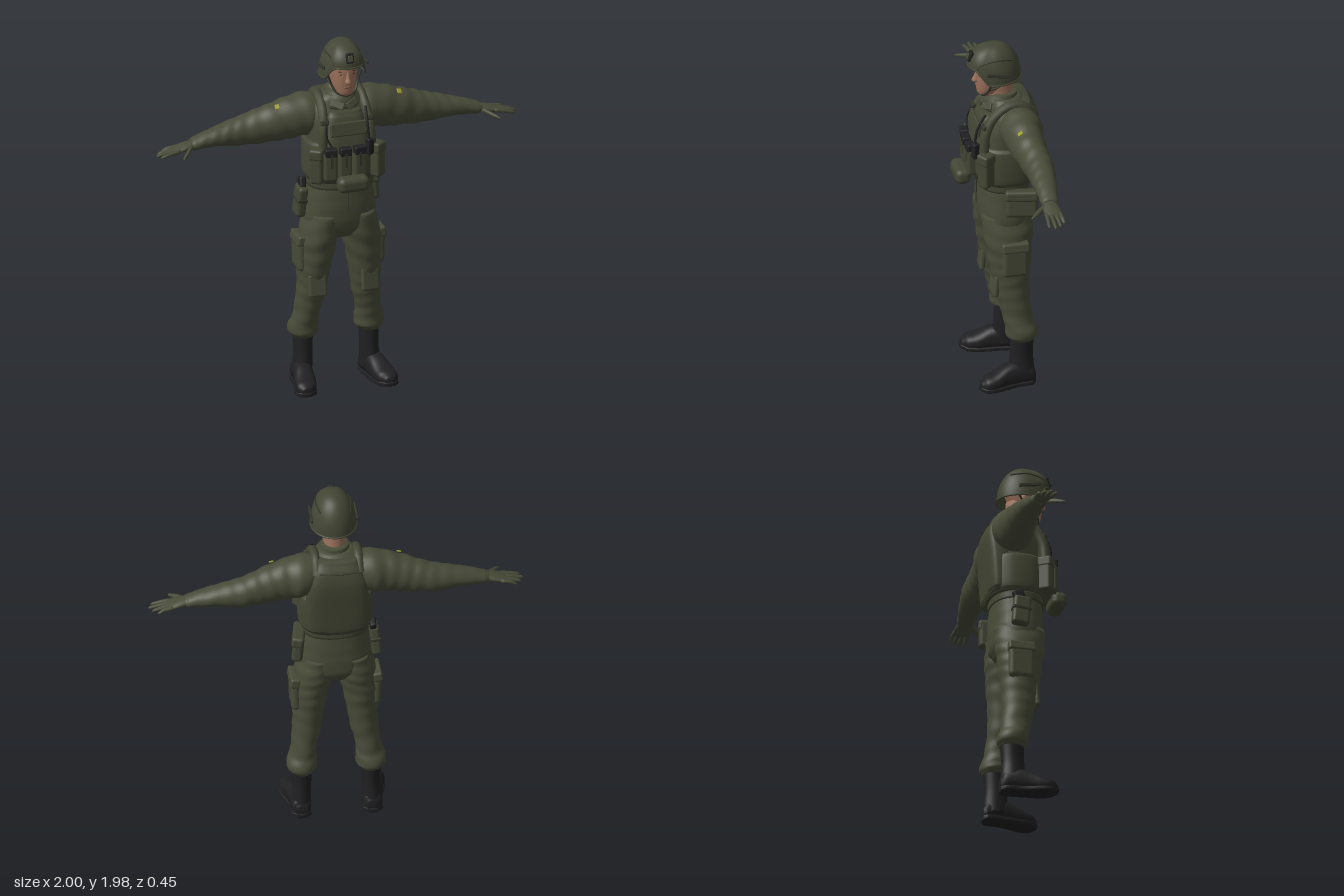
import * as THREE from 'three';
import { RoundedBoxGeometry } from 'three/addons/geometries/RoundedBoxGeometry.js';

const mat = (name, color, side = THREE.FrontSide) => {
  const m = new THREE.MeshStandardMaterial({ color, side });
  m.name = name;
  return m;
};

// Smooth loft along an axis. Rows are [t, c1, c2, r1, r2]; the two cross axes are
// y: (x, z)   x: (z, y)   z: (y, x). "pow" above 2 squares the section, "fold" wrinkles cloth.
function loft(rows, axis = 'y', { pow = 2, fold = 0, steps = 4, n = 32 } = {}) {
  const [T, A, B] = { y: [1, 0, 2], x: [0, 2, 1], z: [2, 1, 0] }[axis];
  const pos = [], idx = [];
  const at = (k, f, c) => {
    const r = (i) => rows[Math.min(rows.length - 1, Math.max(0, i))][c];
    const [a, b, d, e] = [r(k - 1), r(k), r(k + 1), r(k + 2)];
    if (c === 0) return b + (d - b) * f;
    return b + 0.5 * f * (d - a + f * (2 * a - 5 * b + 4 * d - e + f * (3 * (b - d) + e - a)));
  };
  const put = (t, a, b) => { const p = []; p[T] = t; p[A] = a; p[B] = b; pos.push(...p); };
  const count = (rows.length - 1) * steps;
  for (let i = 0; i <= count; i++) {
    const k = Math.min(rows.length - 2, Math.floor(i / steps)), f = i / steps - k;
    const [t, c1, c2, r1, r2] = [0, 1, 2, 3, 4].map((c) => at(k, f, c));
    for (let j = 0; j < n; j++) {
      const u = (j / n) * Math.PI * 2, c = Math.cos(u), s = Math.sin(u);
      const w = 1 + fold * (Math.sin(t * 75 + 2.2 * Math.sin(u + t * 9)) + 0.6 * Math.sin(t * 41 - 2 * u));
      put(t, c1 + w * r1 * Math.sign(c) * Math.abs(c) ** (2 / pow), c2 + w * r2 * Math.sign(s) * Math.abs(s) ** (2 / pow));
    }
  }
  for (let i = 0; i < count; i++) for (let j = 0; j < n; j++) {
    const a = i * n + j, b = i * n + (j + 1) % n;
    idx.push(a, a + n, b, b, a + n, b + n);
  }
  // end caps
  const first = rows[0], last = rows[rows.length - 1], m = (count + 1) * n;
  put(first[0], first[1], first[2]);
  put(last[0], last[1], last[2]);
  for (let j = 0; j < n; j++) {
    const q = (j + 1) % n;
    idx.push(m, j, q, m + 1, count * n + q, count * n + j);
  }
  const g = new THREE.BufferGeometry();
  g.setAttribute('position', new THREE.Float32BufferAttribute(pos, 3));
  g.setIndex(idx);
  g.computeVertexNormals();
  return g;
}

function mirrored(geo) {
  const g = geo.clone().scale(-1, 1, 1);
  const src = g.index ? Array.from(g.index.array) : Array.from({ length: g.attributes.position.count }, (_, i) => i);
  for (let i = 0; i < src.length; i += 3) [src[i + 1], src[i + 2]] = [src[i + 2], src[i + 1]];
  g.setIndex(src);
  return g;
}

const V = (p) => new THREE.Vector3(...p);
const tube = (pts, r, closed = false, seg = 28) =>
  new THREE.TubeGeometry(new THREE.CatmullRomCurve3(pts.map(V), closed), seg, r, 8, closed);
const ball = (r, s, p) => new THREE.SphereGeometry(r, 16, 12).scale(...s).translate(...p);
const box = ([w, h, d], p, rot = [0, 0, 0], r = 0.012) => {
  const g = new RoundedBoxGeometry(w, h, d, 3, Math.min(r, w / 2.1, h / 2.1, d / 2.1));
  g.applyMatrix4(new THREE.Matrix4().makeRotationFromEuler(new THREE.Euler(...rot)));
  return g.translate(...p);
};

export function createModel() {
  const root = new THREE.Group();
  root.name = 'soldier';
  const cloth = mat('olive cloth', 0x484b38);
  const gear = mat('olive gear', 0x434634, THREE.DoubleSide);
  const seam = mat('dark olive webbing', 0x33362a);
  const black = mat('black', 0x202022);
  const skin = mat('skin', 0x9a705a);
  const lip = mat('lips', 0x7d5144);
  const dark = mat('brows and eyes', 0x33271f);
  const yellow = mat('yellow patch', 0x98982c);
  const add = (name, m, g) => {
    const mesh = new THREE.Mesh(g, m);
    mesh.name = name;
    root.add(mesh);
  };
  const pair = (name, m, g) => { add('left ' + name, m, g); add('right ' + name, m, mirrored(g)); };

  // Head and face
  add('head', skin, loft([[1.675, 0, 0.05, 0.022, 0.025], [1.695, 0, 0.045, 0.046, 0.051], [1.74, 0, 0.022, 0.064, 0.079],
    [1.79, 0, 0.01, 0.072, 0.093], [1.85, 0, 0, 0.075, 0.1], [1.92, 0, 0, 0.055, 0.075]], 'y', { pow: 2.2 }));
  add('neck', skin, loft([[1.58, 0, -0.035, 0.065, 0.07], [1.68, 0, -0.03, 0.059, 0.068], [1.78, 0, -0.02, 0.058, 0.07]]));
  add('nose', skin, loft([[1.758, 0, 0.1, 0.008, 0.01], [1.768, 0, 0.104, 0.017, 0.021], [1.79, 0, 0.1, 0.012, 0.016], [1.825, 0, 0.095, 0.008, 0.008]]));
  add('mouth', lip, ball(0.022, [1, 0.24, 0.3], [0, 1.738, 0.099]));
  pair('ear', skin, ball(0.025, [0.4, 1.1, 0.7], [0.075, 1.79, -0.005]));
  pair('eye', dark, ball(0.011, [1, 0.4, 0.4], [0.03, 1.811, 0.092]));
  pair('eyebrow', dark, box([0.034, 0.006, 0.008], [0.031, 1.828, 0.092], [0, 0.3, -0.1], 0.003));

  // Helmet: dome whose rim is high over the brow and low around ears and nape
  const rimY = (u) => 1.785 + 0.078 * THREE.MathUtils.smoothstep(Math.sin(u), 0.3, 0.85);
  const dome = new THREE.SphereGeometry(1, 48, 20, 0, Math.PI * 2, 0, Math.PI / 2);
  const p = dome.attributes.position;
  for (let i = 0; i < p.count; i++) {
    const u = Math.atan2(p.getZ(i), p.getX(i)), y = p.getY(i), k = Math.sqrt(Math.max(0, 1 - y * y)) ** 0.88;
    p.setXYZ(i, Math.cos(u) * k * 0.122, rimY(u) + (1.98 - rimY(u)) * y, 0.003 + Math.sin(u) * k * 0.142);
  }
  dome.computeVertexNormals();
  add('helmet', gear, dome);
  const rim = Array.from({ length: 32 }, (_, i) => {
    const u = (i / 32) * Math.PI * 2;
    return [Math.cos(u) * 0.122, rimY(u), 0.003 + Math.sin(u) * 0.142];
  });
  add('helmet rim', gear, tube(rim, 0.005, true, 96));
  add('helmet front mount', black, box([0.042, 0.055, 0.02], [0, 1.918, 0.134], [-0.35, 0, 0], 0.006));
  add('helmet mount plate', gear, box([0.026, 0.034, 0.012], [0, 1.919, 0.145], [-0.35, 0, 0], 0.004));
  pair('helmet side rail', seam, box([0.012, 0.02, 0.12], [0.121, 1.845, 0.01], [-0.15, 0, 0.1], 0.004));
  pair('helmet strap seam', seam, tube([[0.075, 1.872, 0.112], [0.085, 1.905, 0.08], [0.093, 1.92, 0.0], [0.08, 1.91, -0.085]], 0.004));
  pair('chin strap', seam, tube([[0.092, 1.8, 0.04], [0.072, 1.74, 0.045], [0.05, 1.7, 0.068], [0, 1.683, 0.085]], 0.006));
  pair('nape strap', seam, tube([[0.1, 1.8, -0.05], [0.075, 1.75, 0], [0.07, 1.735, 0.045]], 0.005));

  // Jacket
  add('jacket', cloth, loft([[1.15, 0, -0.04, 0.17, 0.135], [1.25, 0, -0.045, 0.18, 0.14], [1.4, 0, -0.055, 0.17, 0.145],
    [1.5, 0, -0.065, 0.185, 0.145], [1.58, 0, -0.075, 0.185, 0.125], [1.635, 0, -0.07, 0.14, 0.105], [1.67, 0, -0.045, 0.085, 0.082]],
  'y', { fold: 0.006, pow: 2.2 }));
  add('collar', cloth, loft([[1.6, 0, -0.035, 0.105, 0.1], [1.65, 0, -0.035, 0.088, 0.088], [1.695, 0, -0.045, 0.073, 0.073]]));
  pair('collar flap', cloth, box([0.075, 0.04, 0.014], [0.042, 1.625, 0.053], [-0.5, 0.35, 0.5], 0.006));

  // Sleeves and gloved hands
  pair('sleeve', cloth, loft([[0.09, -0.085, 1.545, 0.09, 0.1], [0.18, -0.1, 1.538, 0.113, 0.118], [0.26, -0.1, 1.525, 0.1, 0.115],
    [0.34, -0.105, 1.51, 0.091, 0.107], [0.42, -0.115, 1.492, 0.084, 0.095], [0.52, -0.125, 1.474, 0.076, 0.08], [0.62, -0.12, 1.466, 0.066, 0.06],
    [0.72, -0.115, 1.453, 0.055, 0.044], [0.79, -0.11, 1.439, 0.046, 0.034], [0.81, -0.108, 1.437, 0.038, 0.026]], 'x', { fold: 0.022, steps: 7 }));
  pair('palm', cloth, loft([[0.78, -0.107, 1.438, 0.034, 0.024], [0.84, -0.106, 1.43, 0.044, 0.021], [0.885, -0.107, 1.421, 0.046, 0.015],
    [0.905, -0.107, 1.417, 0.042, 0.01]], 'x'));
  [[0.958, -0.143, -0.15], [0.985, -0.119, -0.124], [1, -0.095, -0.095], [0.985, -0.071, -0.064]].forEach(([x, z0, z1], i) =>
    pair('finger ' + (i + 1), cloth, loft([[0.875, z0, 1.421, 0.012, 0.012], [0.93, (z0 + z1) / 2, 1.413, 0.011, 0.011],
      [x - 0.01, z1, 1.402, 0.009, 0.009], [x, z1, 1.4, 0.003, 0.003]], 'x', { n: 10, steps: 3 })));
  pair('thumb', cloth, loft([[0.8, -0.085, 1.431, 0.014, 0.014], [0.835, -0.05, 1.42, 0.019, 0.015], [0.865, -0.016, 1.41, 0.015, 0.011],
    [0.882, 0.003, 1.404, 0.008, 0.006]], 'x', { n: 12 }));
  pair('shoulder patch', yellow, box([0.024, 0.008, 0.03], [0.34, 1.609, -0.058], [0.58, 0, -0.2], 0.003));

  // Trousers
  add('trouser seat', cloth, loft([[0.865, 0, -0.05, 0.09, 0.1], [0.91, 0, -0.047, 0.175, 0.127], [0.97, 0, -0.043, 0.196, 0.138],
    [1.05, 0, -0.04, 0.188, 0.14], [1.13, 0, -0.04, 0.177, 0.138], [1.2, 0, -0.04, 0.168, 0.133]], 'y', { pow: 2.3, fold: 0.004 }));
  pair('trouser leg', cloth, loft([[0.27, 0.183, -0.105, 0.06, 0.066], [0.295, 0.184, -0.103, 0.08, 0.084], [0.33, 0.184, -0.098, 0.08, 0.084],
    [0.37, 0.177, -0.088, 0.071, 0.08], [0.43, 0.168, -0.077, 0.069, 0.081], [0.51, 0.155, -0.065, 0.076, 0.088], [0.6, 0.146, -0.055, 0.081, 0.098],
    [0.7, 0.138, -0.05, 0.09, 0.11], [0.8, 0.127, -0.047, 0.1, 0.122], [0.89, 0.112, -0.044, 0.105, 0.133], [1, 0.095, -0.04, 0.09, 0.135]],
  'y', { fold: 0.018, steps: 6 }));
  pair('cargo pocket', cloth, box([0.05, 0.19, 0.14], [0.217, 0.765, -0.06], [0, 0, -0.03], 0.024));
  pair('cargo pocket flap', cloth, box([0.052, 0.055, 0.148], [0.22, 0.845, -0.06], [0, 0, 0.14], 0.012));
  pair('knee panel', cloth, box([0.1, 0.13, 0.03], [0.146, 0.6, 0.035], [-0.1, 0.08, 0], 0.014));
  add('trouser fly', seam, box([0.006, 0.12, 0.008], [0.004, 1.09, 0.1], [0, 0, 0], 0.002));
  add('belt', gear, loft([[1.155, 0, -0.04, 0.181, 0.141], [1.2, 0, -0.04, 0.181, 0.141]], 'y', { pow: 2.3 }));
  add('belt buckle', seam, box([0.06, 0.035, 0.014], [0, 1.177, 0.102], [0, 0, 0], 0.005));

  // Boots
  pair('boot shaft', black, loft([[0.04, 0.19, -0.105, 0.056, 0.066], [0.1, 0.188, -0.1, 0.053, 0.067], [0.18, 0.184, -0.1, 0.05, 0.062],
    [0.3, 0.183, -0.105, 0.054, 0.064]]));
  pair('boot foot', black, loft([[-0.172, 0.045, 0.188, 0.03, 0.03], [-0.155, 0.055, 0.19, 0.05, 0.048], [-0.09, 0.07, 0.195, 0.066, 0.054],
    [-0.02, 0.066, 0.206, 0.062, 0.055], [0.05, 0.048, 0.219, 0.046, 0.06], [0.1, 0.042, 0.227, 0.037, 0.053], [0.13, 0.035, 0.231, 0.02, 0.025]], 'z', { pow: 2.4 }));
  pair('boot sole', black, loft([[-0.173, 0.014, 0.188, 0.014, 0.028], [-0.15, 0.014, 0.19, 0.014, 0.052], [-0.06, 0.014, 0.198, 0.014, 0.052],
    [0.05, 0.014, 0.219, 0.014, 0.062], [0.105, 0.016, 0.228, 0.014, 0.053], [0.135, 0.02, 0.232, 0.011, 0.025]], 'z', { pow: 5 }));

  // Plate carrier
  add('cummerbund', gear, loft([[1.195, 0, -0.045, 0.185, 0.15], [1.22, 0, -0.045, 0.197, 0.162], [1.32, 0, -0.048, 0.198, 0.166],
    [1.4, 0, -0.052, 0.192, 0.163], [1.415, 0, -0.052, 0.176, 0.15]], 'y', { pow: 2.5 }));
  add('front plate', gear, loft([[1.22, 0, 0.07, 0.13, 0.055], [1.38, 0, 0.072, 0.13, 0.058], [1.47, 0, 0.058, 0.115, 0.058],
    [1.56, 0, 0.035, 0.1, 0.054], [1.59, 0, 0.025, 0.088, 0.045]], 'y', { pow: 3.5 }));
  add('back plate', gear, loft([[1.205, 0, -0.14, 0.15, 0.055], [1.23, 0, -0.145, 0.165, 0.062], [1.38, 0, -0.152, 0.168, 0.066],
    [1.52, 0, -0.16, 0.155, 0.066], [1.6, 0, -0.155, 0.125, 0.055], [1.655, 0, -0.135, 0.105, 0.04]], 'y', { pow: 3.5 }));
  add('back plate top seam', seam, tube([[-0.1, 1.6, -0.205], [0, 1.597, -0.211], [0.1, 1.6, -0.205]], 0.004));
  pair('shoulder strap', gear, new THREE.TubeGeometry(new THREE.CatmullRomCurve3(
    [[0.135, 1.4, 0.09], [0.13, 1.5, 0.08], [0.12, 1.59, 0.035], [0.116, 1.65, -0.05], [0.115, 1.645, -0.12], [0.115, 1.58, -0.18]].map(V)), 30, 0.026, 10));
  pair('strap buckle', seam, box([0.045, 0.025, 0.02], [0.125, 1.545, 0.088], [-0.4, 0, 0], 0.006));
  add('chest flap', gear, box([0.2, 0.075, 0.02], [0, 1.505, 0.108], [-0.2, 0, 0], 0.008));

  // Magazine pouches with black magazines
  [-0.108, -0.03, 0.05].forEach((x, i) => {
    const z = 0.145 - Math.abs(x) * 0.12;
    add('magazine pouch ' + (i + 1), gear, box([0.07, 0.15, 0.055], [x, 1.31, z], [0, x * 1.5, 0], 0.014));
    add('magazine ' + (i + 1), black, box([0.064, 0.045, 0.045], [x, 1.395, z + 0.008], [0, x * 1.5, 0], 0.008));
    add('pouch strap ' + (i + 1), seam, box([0.014, 0.08, 0.006], [x, 1.35, z + 0.028], [0, x * 1.5, 0], 0.002));
  });
  add('lower front pouch', gear, box([0.172, 0.085, 0.085], [0, 1.222, 0.185], [0, 0, 0], 0.032));
  pair('side pouch', gear, box([0.07, 0.19, 0.075], [0.165, 1.305, 0.085], [0, 0.6, 0], 0.016));
  pair('side pouch flap', gear, box([0.075, 0.06, 0.08], [0.166, 1.375, 0.086], [0, 0.6, 0], 0.014));
  add('radio', black, box([0.035, 0.09, 0.035], [0.112, 1.4, 0.13], [0, 0.3, 0], 0.008));
  add('radio antenna', black, tube([[0.108, 1.42, 0.135], [0.104, 1.52, 0.12], [0.106, 1.61, 0.075]], 0.007));
  add('push to talk cable', black, tube([[-0.1, 1.42, 0.13], [-0.125, 1.48, 0.12], [-0.12, 1.55, 0.09]], 0.005));

  // Hip gear
  add('hip pouch', gear, box([0.06, 0.155, 0.17], [0.2, 1.1, -0.1], [0, -0.2, 0.08], 0.022));
  add('hip pouch flap', gear, box([0.066, 0.06, 0.176], [0.2, 1.148, -0.1], [0, -0.2, 0.08], 0.016));
  add('holster', gear, box([0.052, 0.17, 0.095], [-0.212, 1.06, -0.06], [0.1, 0, -0.08], 0.018));
  add('holster band', seam, box([0.056, 0.02, 0.1], [-0.212, 1.07, -0.06], [0.1, 0, -0.08], 0.006));
  add('pistol grip', black, box([0.036, 0.065, 0.06], [-0.2, 1.155, -0.07], [-0.35, 0, -0.08], 0.012));

  return root;
}
